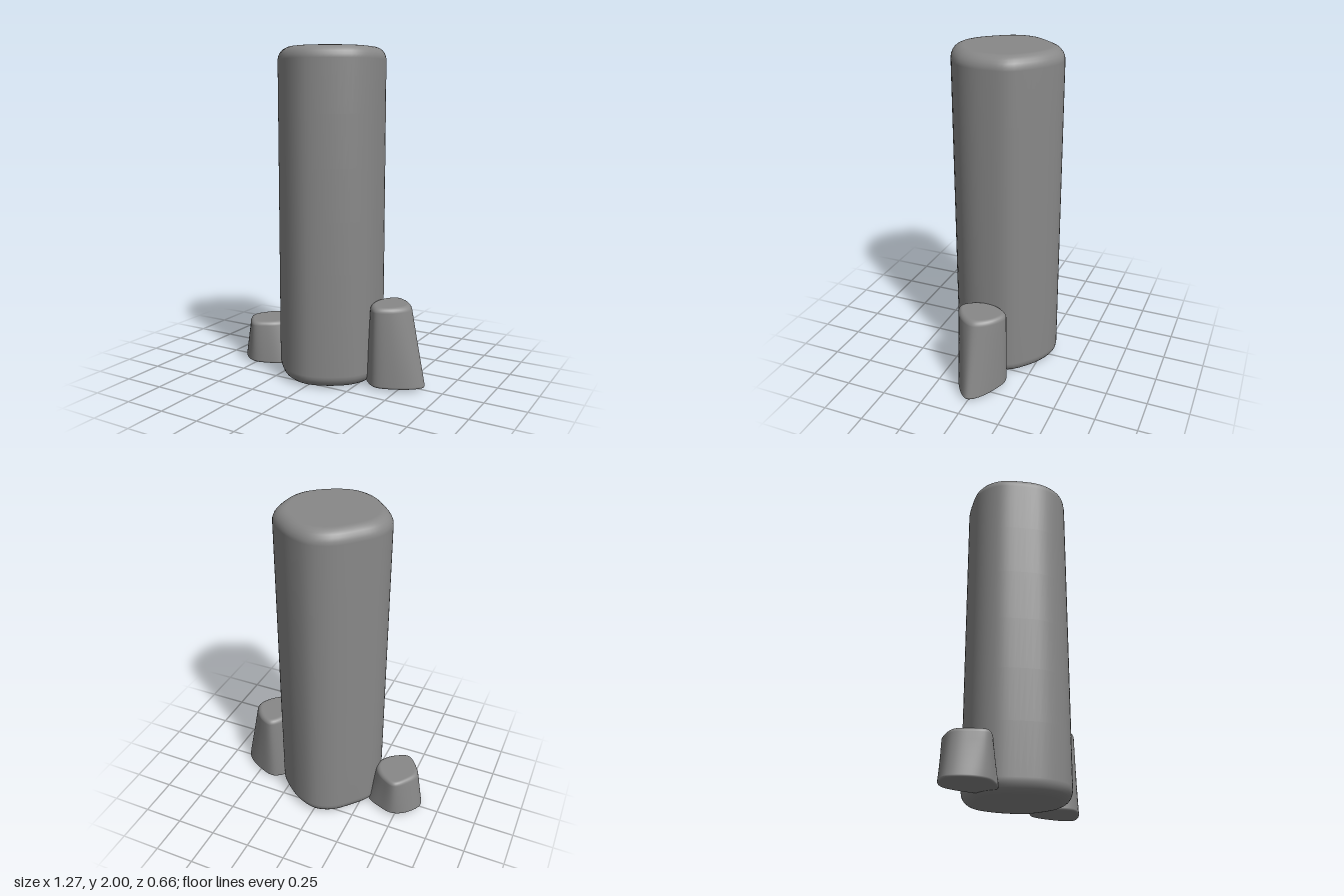
import * as THREE from 'three';

const SEGMENTS = 64;
const RIM_STEPS = 6;

// Smooth closed outline through [x, z] points, counter-clockwise seen from above
function outline(points) {
  const curve = new THREE.CatmullRomCurve3(points.map(([x, z]) => new THREE.Vector3(x, 0, z)), true);
  return Array.from({ length: SEGMENTS }, (_, i) => curve.getPoint(i / SEGMENTS));
}

// Completes a half outline (between the two x ends) by mirroring it in z
function mirrored(half) {
  return [...half, ...half.slice(1, -1).reverse().map(([x, z]) => [x, -z])];
}

// Solid between a lower and an upper outline, with rounded rims and flat caps
function roundedLoft(lower, upper, y0, y1, rim0, rim1) {
  // Rows of [height, inset]: lower rim, side, upper rim
  const rows = [];
  for (let i = 0; i <= RIM_STEPS; i++) {
    const a = (i / RIM_STEPS) * Math.PI / 2;
    rows.push([y0 + rim0 * (1 - Math.cos(a)), rim0 * (1 - Math.sin(a))]);
  }
  for (let i = 1; i < 6; i++) rows.push([THREE.MathUtils.lerp(y0 + rim0, y1 - rim1, i / 6), 0]);
  for (let i = 0; i <= RIM_STEPS; i++) {
    const a = (i / RIM_STEPS) * Math.PI / 2;
    rows.push([y1 - rim1 * (1 - Math.sin(a)), rim1 * (1 - Math.cos(a))]);
  }

  const positions = [], index = [], centers = [];
  for (const [y, inset] of rows) {
    const t = (y - y0) / (y1 - y0);
    const ring = lower.map((p, i) => p.clone().lerp(upper[i], t));
    const box = new THREE.Box3().setFromPoints(ring);
    const mid = box.getCenter(new THREE.Vector3()), size = box.getSize(new THREE.Vector3());
    for (const p of ring) {
      positions.push(mid.x + (p.x - mid.x) * (1 - 2 * inset / size.x), y,
        mid.z + (p.z - mid.z) * (1 - 2 * inset / size.z));
    }
    centers.push([mid.x, y, mid.z]);
  }

  // Side quads and the two cap fans
  const last = rows.length - 1, bottom = rows.length * SEGMENTS, top = bottom + 1;
  positions.push(...centers[0], ...centers[last]);
  for (let i = 0; i < SEGMENTS; i++) {
    const j = (i + 1) % SEGMENTS;
    for (let r = 0; r < last; r++) {
      const a = r * SEGMENTS + i, b = r * SEGMENTS + j, c = a + SEGMENTS, d = b + SEGMENTS;
      index.push(a, b, d, a, d, c);
    }
    index.push(bottom, j, i, top, last * SEGMENTS + i, last * SEGMENTS + j);
  }

  const geometry = new THREE.BufferGeometry();
  geometry.setAttribute('position', new THREE.Float32BufferAttribute(positions, 3));
  geometry.setIndex(index);
  geometry.computeVertexNormals();
  return geometry;
}

export function createModel() {
  const model = new THREE.Group();
  const material = new THREE.MeshStandardMaterial({ color: 0x888888 });
  const add = (name, geometry) => {
    const mesh = new THREE.Mesh(geometry, material);
    mesh.name = name;
    model.add(mesh);
  };

  // Tall pillar with an uneven round section
  const pillar = outline([
    [0.317, 0], [0.3, -0.13], [0.21, -0.23], [0.105, -0.3], [-0.01, -0.332], [-0.125, -0.297],
    [-0.24, -0.188], [-0.312, -0.095], [-0.336, 0], [-0.318, 0.09], [-0.25, 0.185], [-0.145, 0.285],
    [-0.01, 0.328], [0.12, 0.292], [0.25, 0.2], [0.302, 0.11],
  ]);
  add('pillar', roundedLoft(pillar, pillar, 0, 2, 0.075, 0.075));

  // Taller side stone, leaning in from its pointed outer edge
  add('leftStone', roundedLoft(
    outline(mirrored([[0.638, 0], [0.605, -0.052], [0.5, -0.118], [0.38, -0.15], [0.3, -0.09], [0.25, 0]])),
    outline(mirrored([[0.537, 0], [0.518, -0.055], [0.46, -0.12], [0.38, -0.15], [0.322, -0.09], [0.3, 0]])),
    0.013, 0.5, 0.015, 0.03));

  // Shorter side stone, flaring towards the pillar
  add('rightStone', roundedLoft(
    outline(mirrored([[-0.24, 0], [-0.3, -0.085], [-0.39, -0.13], [-0.49, -0.15], [-0.58, -0.1], [-0.638, 0]])),
    outline(mirrored([[-0.325, 0], [-0.35, -0.065], [-0.41, -0.12], [-0.49, -0.15], [-0.555, -0.085], [-0.595, 0]])),
    0.015, 0.283, 0.013, 0.025));

  return model;
}
